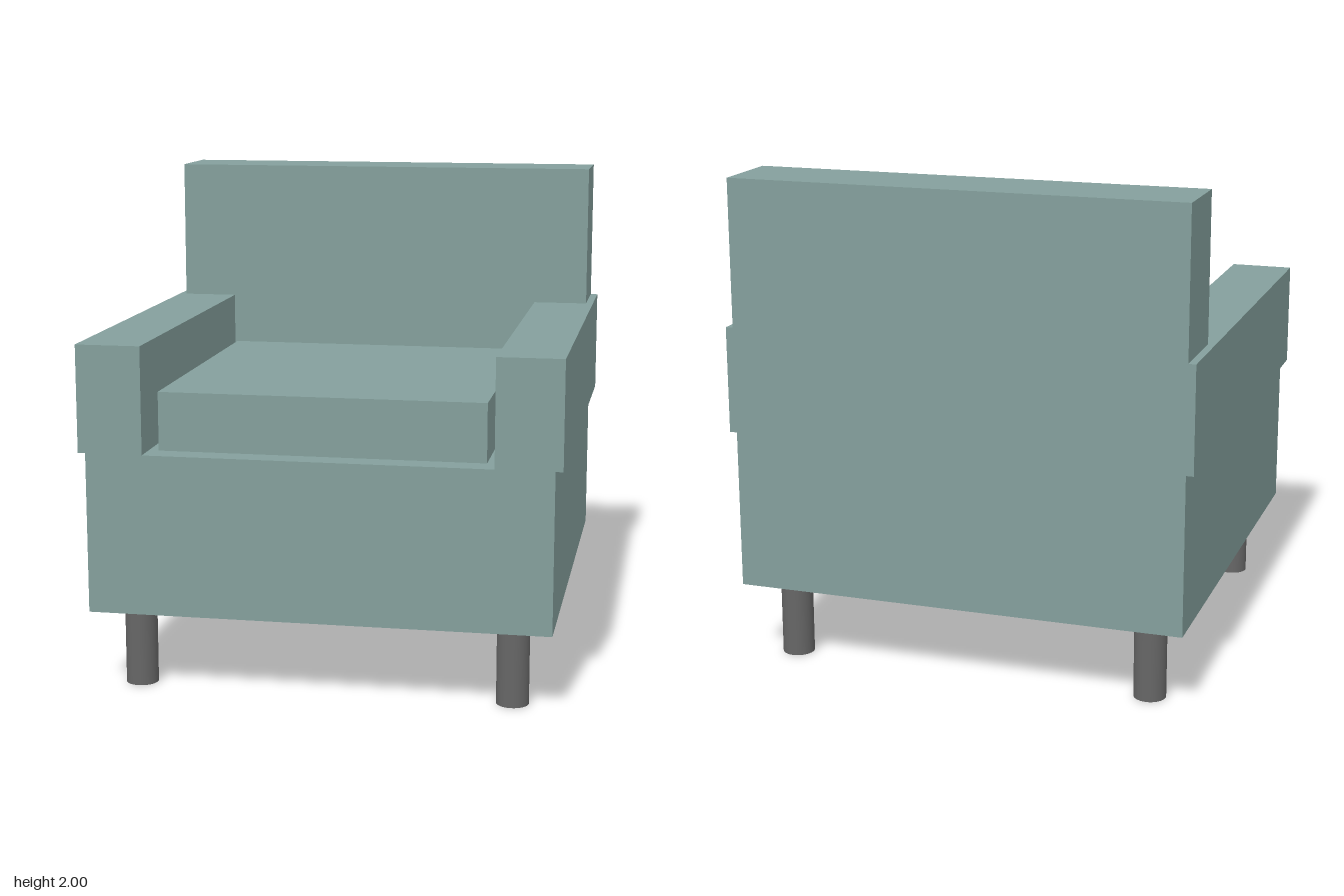
import * as THREE from 'three';

export function createModel() {
  const model = new THREE.Group();
  model.name = 'armchair';

  const upholstery = new THREE.MeshStandardMaterial({ color: 0x849f9c });
  upholstery.name = 'sage upholstery';
  const legPaint = new THREE.MeshStandardMaterial({ color: 0x666666 });
  legPaint.name = 'dark grey legs';

  const add = (name, geometry, material) => {
    const mesh = new THREE.Mesh(geometry, material);
    mesh.name = name;
    model.add(mesh);
    return mesh;
  };

  // Box given by its minimum and maximum corners
  const addBox = (name, [x0, y0, z0], [x1, y1, z1]) =>
    add(name, new THREE.BoxGeometry(x1 - x0, y1 - y0, z1 - z0), upholstery)
      .position.set((x0 + x1) / 2, (y0 + y1) / 2, (z0 + z1) / 2);

  const legTop = 0.33, seatTop = 0.975, armTop = 1.405, top = 2;
  const half = 0.92, armInner = 0.69, armOuter = 0.95, backFront = -0.6;

  // Body and loose seat cushion
  addBox('base', [-half, legTop, -half], [half, seatTop, half]);
  addBox('seatCushion', [-0.65, seatTop, -0.48], [0.65, 1.21, 0.82]);

  // Armrests overhang the base slightly
  addBox('leftArm', [armInner, seatTop, -half], [armOuter, armTop, half]);
  addBox('rightArm', [-armOuter, seatTop, -half], [-armInner, armTop, half]);

  // Backrest: T-shaped, fitting between the arms and resting on top of them
  const outline = new THREE.Shape([
    [-armInner, seatTop], [armInner, seatTop], [armInner, armTop], [half, armTop],
    [half, top], [-half, top], [-half, armTop], [-armInner, armTop],
  ].map(([x, y]) => new THREE.Vector2(x, y)));
  add('backrest', new THREE.ExtrudeGeometry(outline, {
    depth: backFront + half, bevelEnabled: false,
  }), upholstery).position.z = -half;

  // Four round legs
  const legGeometry = new THREE.CylinderGeometry(0.065, 0.065, legTop, 32);
  for (const [side, x] of [['Left', 0.755], ['Right', -0.755]]) {
    for (const [end, z] of [['front', 0.755], ['back', -0.755]]) {
      add(`${end}${side}Leg`, legGeometry, legPaint).position.set(x, legTop / 2, z);
    }
  }

  return model;
}
